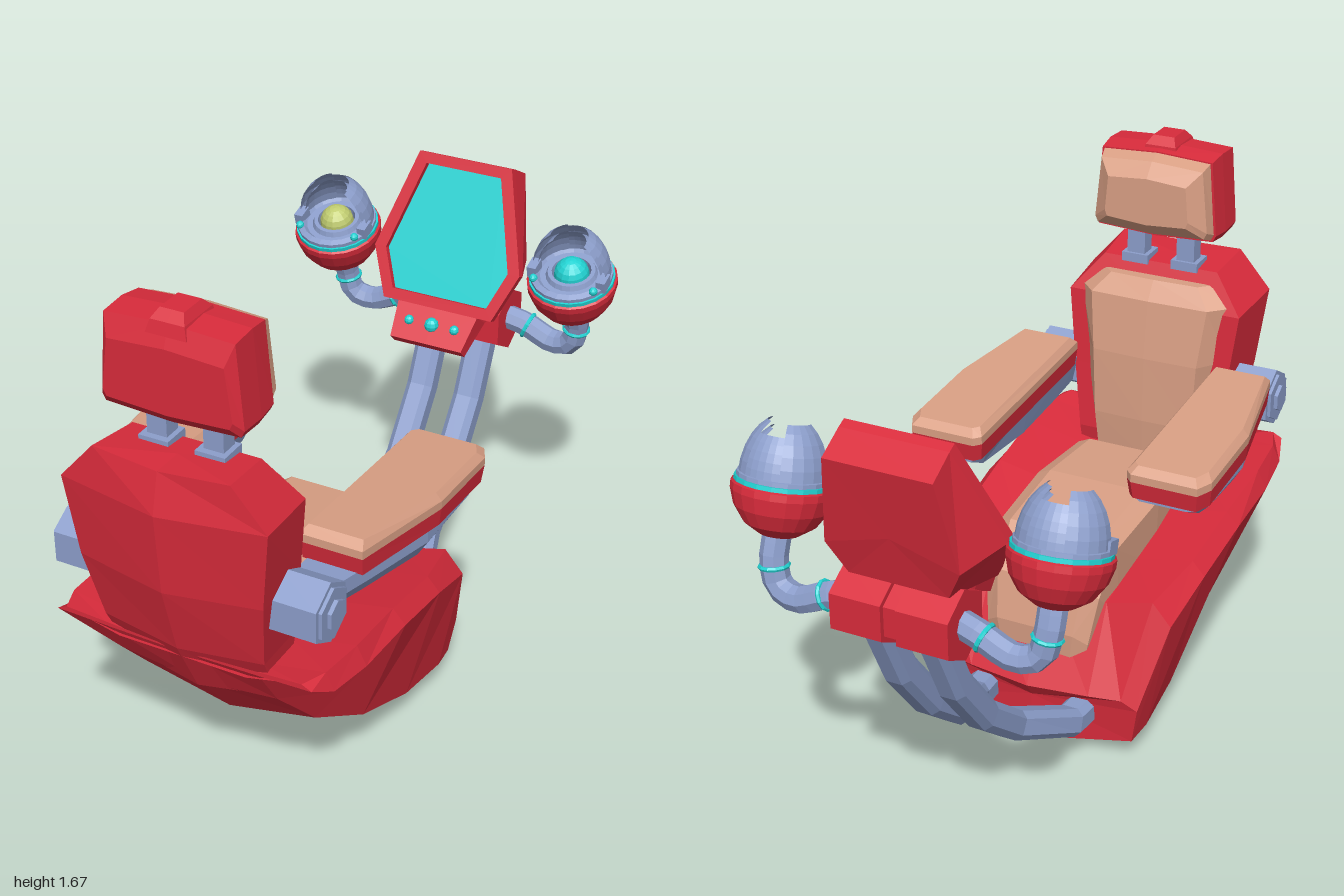
import * as THREE from 'three';

const mat = (color, extra = {}) => new THREE.MeshStandardMaterial({ color, flatShading: true, ...extra });
const RED = mat(0xd82b3b), TAN = mat(0xd99f84), STEEL = mat(0x8c9ecb);
const CYAN = mat(0x22d3d3), LIME = mat(0xc0cc70);
const STEEL_THIN = mat(0x8c9ecb, { side: THREE.DoubleSide });

function add(parent, name, geometry, material, x = 0, y = 0, z = 0) {
  const m = new THREE.Mesh(geometry, material);
  m.name = name;
  m.position.set(x, y, z);
  parent.add(m);
  return m;
}

// Complete a half outline (x >= 0) with its mirror image
const mirror = half => [...half, ...half.filter(p => p[0] > 0).reverse().map(([x, y, z]) => [-x, y, z])];

// Capped, flat-sided skin over rings that have equal point counts
function loft(rings) {
  const tris = [], n = rings[0].length;
  for (let r = 0; r < rings.length - 1; r++) for (let i = 0; i < n; i++) {
    const j = (i + 1) % n, [a, b] = [rings[r], rings[r + 1]];
    tris.push([a[i], a[j], b[j]], [a[i], b[j], b[i]]);
  }
  [rings[0], rings[rings.length - 1]].forEach((ring, end) => {
    const c = [0, 1, 2].map(k => ring.reduce((s, p) => s + p[k], 0) / n);
    ring.forEach((p, i) => {
      const q = ring[(i + 1) % n];
      tris.push(end ? [c, p, q] : [c, q, p]);
    });
  });
  // Signed volume tells whether the skin is inside out
  const v = p => new THREE.Vector3(...p);
  const volume = tris.reduce((s, [a, b, c]) => s + v(a).dot(v(b).cross(v(c))), 0);
  if (volume < 0) tris.forEach(t => t.reverse());
  const g = new THREE.BufferGeometry();
  g.setAttribute('position', new THREE.Float32BufferAttribute(tris.flat(2), 3));
  g.computeVertexNormals();
  return g;
}

// Hexagonal prism lying along x, with a corner pointing up
const hexBar = (r, len) => new THREE.CylinderGeometry(r, r, len, 6).rotateY(Math.PI / 6).rotateZ(Math.PI / 2);

function seat(g) {
  // z, keel y, lower edge x y, side x y, rim x y
  const hull = [
    [.9, .655, .24, .66, .40, .665, .37, .68], [.82, .5, .25, .53, .425, .62, .40, .675],
    [.66, .3, .28, .36, .44, .60, .41, .66], [.42, .13, .31, .21, .44, .58, .40, .625],
    [.17, .045, .33, .12, .43, .53, .39, .575], [-.04, .02, .34, .09, .41, .46, .35, .53],
  ].map(([z, k, lx, ly, sx, sy, tx, ty]) =>
    mirror([[0, k, z], [lx, ly, z], [sx, sy, z], [tx, ty, z], [.2, ty - .04, z], [0, ty - .04, z]]));
  hull.push(mirror([[0, .01, -.15], [.33, .08, -.13], [.35, .2, -.14], [.3, .23, -.15], [.2, .23, -.17], [0, .22, -.185]]));
  add(g, 'seatHull', loft(hull), RED);

  // Cushion sections: top y z, bottom y z, half width
  const cushion = [
    [.63, .68, .5, .68, .18], [.685, .58, .5, .58, .2], [.70, .3, .45, .3, .21], [.67, .01, .4, .05, .2],
    [.55, -.095, .34, .03, .19], [.4, -.13, .25, .02, .17], [.23, -.12, .18, .0, .14],
  ].map(([ty, tz, by, bz, w]) => mirror([[0, ty, tz], [w * .75, ty, tz], [w, ty - .03, tz + .02], [w, by, bz], [0, by, bz]]));
  add(g, 'seatCushion', loft(cushion), TAN);
}

function backrest(g) {
  // y, half width, rear centre z, rear edge z, front z
  const shell = [
    [1.27, .205, .97, .955, .78], [1.15, .31, 1, .955, .73], [.9, .28, .98, .935, .71],
    [.68, .25, .92, .885, .69], [.51, .24, .825, .80, .72],
  ].map(([y, w, rc, re, f], i) => mirror([[0, i === 4 ? y - .02 : y, rc], [w, y + .01, re], [w * .95, y - .01, f], [0, y - .01, f]]));
  add(g, 'backrestShell', loft(shell), RED);

  // y, rear half width, front half width, front z
  const pad = [[1.22, .18, .15, .73], [1.16, .27, .2, .69], [.97, .25, .18, .665], [.75, .21, .17, .66], [.62, .19, .16, .67]]
    .map(([y, wr, wf, z]) => mirror([[0, y, .8], [wr, y, .76], [wf, y, z], [0, y, z - .005]]));
  add(g, 'backrestCushion', loft(pad), TAN);

  for (const s of [-1, 1]) {
    add(g, 'headrestPost', new THREE.BoxGeometry(.06, .2, .055), STEEL, s * .085, 1.31, .805);
    add(g, 'postFoot', new THREE.BoxGeometry(.09, .03, .085), STEEL, s * .085, 1.265, .81);
  }

  // Headrest as slices along z: z, half width top and bottom, y top and bottom
  const slice = ([z, wt, wb, t, b]) => mirror([[0, t + .01, z], [wt, t, z], [wb, b + .02, z], [wb * .95, b, z], [0, b - .01, z]]);
  add(g, 'headrestShell', loft([[.91, .17, .19, 1.58, 1.41], [.885, .19, .21, 1.64, 1.38],
    [.8, .19, .21, 1.645, 1.375], [.73, .185, .205, 1.635, 1.38]].map(slice)), RED);
  add(g, 'headrestCushion', loft([[.74, .18, .2, 1.635, 1.38], [.69, .17, .19, 1.615, 1.4], [.652, .13, .14, 1.57, 1.44]].map(slice)), TAN);
  add(g, 'headrestCap', loft([[1.62, .06, .75, .9], [1.655, .05, .755, .89], [1.68, .035, .78, .865]]
    .map(([y, w, a, b]) => mirror([[0, y, a], [w, y, a], [w, y, b], [0, y, b]]))), RED);
}

function armrest(s) {
  const g = new THREE.Group();
  g.name = s > 0 ? 'leftArmrest' : 'rightArmrest';
  const outline = [[.24, .0], [.26, -.02], [.47, -.02], [.495, .03], [.495, .32], [.43, .67], [.24, .67]];
  // Layers follow the rising top: y at z = 0 and inset toward the middle
  const layer = (y, k) => outline.map(([x, z]) => [s * (.36 + (x - .36) * k), y + .065 * z, .32 + (z - .32) * (.5 + k / 2)]);
  add(g, 'armPad', loft([layer(.91, 1), layer(.935, 1), layer(.957, .86)]), TAN);
  add(g, 'armTrim', loft([layer(.855, .95), layer(.91, 1)]), RED);
  // Underside beam slices: z, top y, bottom y, outer x
  const beam = [[-.0, .855, .84, .46], [.08, .86, .80, .47], [.35, .88, .78, .47], [.6, .895, .80, .42], [.76, .91, .82, .39]]
    .map(([z, t, b, w]) => [[.26, t], [w, t], [w, (t + b) / 2], [w - .03, b], [.28, b]].map(([x, y]) => [s * x, y, z]));
  add(g, 'armBeam', loft(beam), STEEL);
  add(g, 'armPivot', hexBar(.095, .15), STEEL, s * .33, .86, .8);
  add(g, 'pivotRim', hexBar(.08, .02), STEEL, s * .405, .86, .8);
  add(g, 'pivotBolt', hexBar(.045, .03), STEEL, s * .412, .86, .8);
  return g;
}

function strut(g, s) {
  // Chamfered bar swept along a path that bends in the y-z plane
  const path = [[.17, .15, -.05], [.16, .16, -.22], [.09, .28, -.46], [.085, .42, -.63], [.085, .61, -.78], [.085, .82, -.88]];
  const section = [[.045, .025], [.025, .045], [-.025, .045], [-.045, .025], [-.045, -.025], [-.025, -.045], [.025, -.045], [.045, -.025]];
  const rings = path.map(([x, y, z], i) => {
    const a = path[Math.max(i - 1, 0)], b = path[Math.min(i + 1, path.length - 1)];
    const len = Math.hypot(b[1] - a[1], b[2] - a[2]), ny = -(b[2] - a[2]) / len, nz = (b[1] - a[1]) / len;
    return section.map(([u, v]) => [s * (x + u), y + v * ny, z + v * nz]);
  });
  add(g, 'consoleStrut', loft(rings), STEEL);
}

function consoleUnit(g) {
  // Screen, leaning away from the seat
  const screen = new THREE.Group();
  screen.name = 'screenUnit';
  screen.position.set(0, .96, -.69);
  screen.rotation.x = -.4;
  const front = mirror([[.19, 0, 0], [.255, .16, 0], [.16, .485, 0]]);
  const rear = mirror([[.15, .1, -.2], [.2, .2, -.19], [.16, .475, -.13]]);
  const glass = mirror([[.165, .035, 0], [.215, .16, 0], [.13, .45, 0]]);
  const toShape = pts => new THREE.Shape(pts.map(([x, y]) => new THREE.Vector2(x, y)));
  add(screen, 'screenHousing', loft([front.map(([x, y]) => [x, y, -.03]), rear]), RED);
  const frame = toShape(front);
  frame.holes.push(toShape(glass));
  add(screen, 'screenFrame', new THREE.ExtrudeGeometry(frame, { depth: .03, bevelEnabled: false }), RED, 0, 0, -.03);
  add(screen, 'screenGlass', new THREE.ShapeGeometry(toShape(glass)), CYAN, 0, 0, -.022);
  g.add(screen);

  // Button panel
  const panel = [[.125, -.61, .87, -.64, .84], [.14, -.70, .96, -.76, .91], [.13, -.85, .98, -.85, .9]]
    .map(([w, tz, ty, bz, by]) => mirror([[0, ty, tz], [w, ty, tz], [w, by, bz], [0, by, bz]]));
  add(g, 'buttonPanel', loft(panel), RED);
  [[-.08, .016], [0, .024], [.08, .016]].forEach(([x, r]) => add(g, 'button', new THREE.SphereGeometry(r, 10, 6), CYAN, x, .918, -.655));

  // Joint block
  for (const s of [-1, 1]) add(g, 'jointBlock', hexBar(.108, .155), RED, s * .1, .88, -.88);
  add(g, 'jointCore', hexBar(.09, .1), RED, 0, .88, -.88);
}

function pod(s) {
  const g = new THREE.Group();
  g.name = s > 0 ? 'leftPod' : 'rightPod';

  // Bent arm with cyan collars
  const curve = new THREE.CatmullRomCurve3([[.15, .89, -.88], [.23, .87, -.89], [.33, .83, -.89], [.395, .85, -.88], [.415, .92, -.87], [.415, 1.0, -.84]]
    .map(([x, y, z]) => new THREE.Vector3(s * x, y, z)));
  add(g, 'podArm', new THREE.TubeGeometry(curve, 12, .04, 8), STEEL);
  for (const t of [.22, .76]) {
    const ring = add(g, 'armCollar', new THREE.TorusGeometry(.039, .007, 6, 12), CYAN);
    ring.position.copy(curve.getPointAt(t));
    ring.lookAt(ring.position.clone().add(curve.getTangentAt(t)));
  }

  // Bowl tilted toward the seat
  const bowl = new THREE.Group();
  bowl.name = 'podBowl';
  bowl.position.set(s * .415, 1.11, -.8);
  bowl.rotation.x = .3;
  const lathe = (pts, n = 20) => new THREE.LatheGeometry(pts.map(p => new THREE.Vector2(...p)), n);
  add(bowl, 'bowlShell', lathe([[0, -.14], [.055, -.13], [.1, -.1], [.13, -.055], [.143, -.01], [.143, .01], [.128, .018]]), RED);
  add(bowl, 'glowRing', lathe([[.125, .008], [.136, .012], [.136, .026], [.12, .026]]), CYAN);
  add(bowl, 'innerRim', lathe([[.13, .02], [.13, .038], [.112, .044], [.1, .03], [.082, .03], [.075, .045], [.062, .045], [.058, .01], [0, .0]]), STEEL);
  add(bowl, 'trackball', new THREE.SphereGeometry(.056, 14, 10), s > 0 ? CYAN : LIME, 0, .03, 0);
  // Hood over the far half, with a notch at the middle
  for (const [from, to, top] of [[.95, 1.36, .5], [1.36, 1.64, .8], [1.64, 2.05, .5]])
    for (const r of [.125, .108]) {
      const dome = new THREE.SphereGeometry(r, 5, 5, from * Math.PI, (to - from) * Math.PI, top, Math.PI / 2 - top);
      add(bowl, 'hood', dome, STEEL_THIN, 0, .035, 0).scale.y = 1.35;
    }
  // Small side knobs
  for (const k of [-1, 1]) {
    add(bowl, 'hoodHinge', new THREE.BoxGeometry(.03, .04, .05), STEEL, k * .115, .045, .025);
    add(bowl, 'knob', new THREE.SphereGeometry(.014, 8, 6), CYAN, k * .1, .045, .07);
  }
  g.add(bowl);
  return g;
}

export function createModel() {
  const model = new THREE.Group();
  model.name = 'controlChair';
  seat(model);
  backrest(model);
  consoleUnit(model);
  for (const s of [-1, 1]) {
    model.add(armrest(s), pod(s));
    strut(model, s);
  }
  return model;
}
